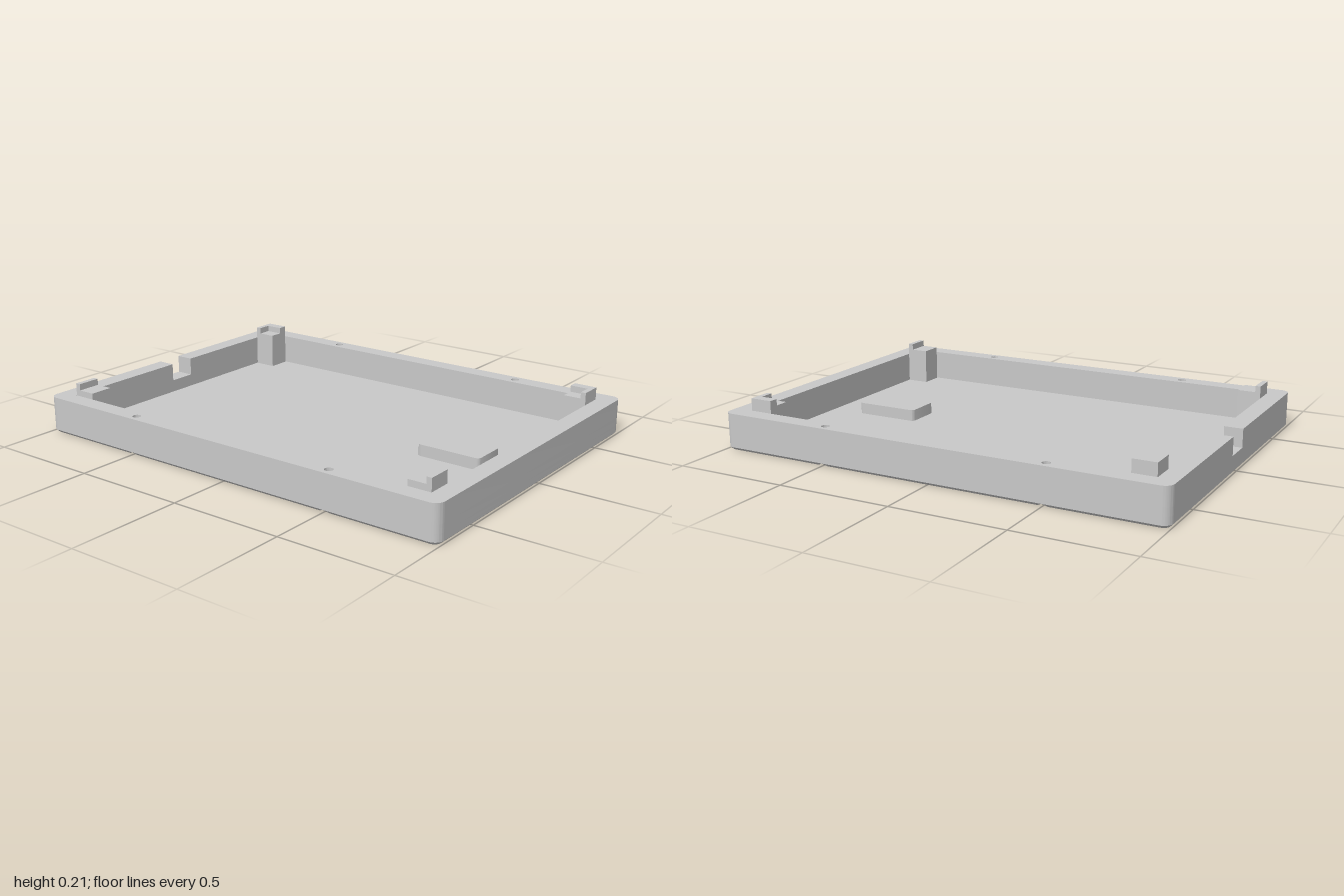
import * as THREE from 'three';
import { toCreasedNormals } from 'three/addons/utils/BufferGeometryUtils.js';

const W = 0.738, H = 1, R = 0.04;        // half width, half length, corner radius
const FLOOR = 0.025, RIM = 0.16, CHAMFER = 0.012;
const BORE = 0.034, BORE_TOP = 0.045, SCREW = 0.018;
const screws = [[0.7, 0.5], [-0.7, 0.5], [0.7, -0.5], [-0.7, -0.5]];

export function createModel() {
  const model = new THREE.Group();
  const grey = new THREE.MeshStandardMaterial({ color: 0xc8c8c8 });
  grey.name = 'light grey plastic';

  function add(name, geometry) {
    const mesh = new THREE.Mesh(toCreasedNormals(geometry, 0.5), grey);
    mesh.name = name;
    model.add(mesh);
  }

  // Flat shapes are drawn as (x, -z) and extruded upwards
  function slab(name, shape, y0, y1) {
    const g = new THREE.ExtrudeGeometry(shape, { depth: y1 - y0, bevelEnabled: false, curveSegments: 10 });
    g.rotateX(-Math.PI / 2);
    g.translate(0, y0, 0);
    add(name, g);
  }

  function box(name, x0, x1, y0, y1, z0, z1) {
    const g = new THREE.BoxGeometry(Math.abs(x1 - x0), y1 - y0, Math.abs(z1 - z0));
    g.translate((x0 + x1) / 2, (y0 + y1) / 2, (z0 + z1) / 2);
    add(name, g);
  }

  // Wall between two loops with equal point counts
  function loft(name, low, high, y0, y1) {
    const pos = [];
    const n = low.length;
    for (let i = 0; i < n; i++) {
      const j = (i + 1) % n;
      const a = [low[i].x, y0, -low[i].y], b = [low[j].x, y0, -low[j].y];
      const c = [high[i].x, y1, -high[i].y], d = [high[j].x, y1, -high[j].y];
      pos.push(...a, ...b, ...c, ...b, ...d, ...c);
    }
    const g = new THREE.BufferGeometry();
    g.setAttribute('position', new THREE.Float32BufferAttribute(pos, 3));
    g.computeVertexNormals();
    add(name, g);
  }

  function roundRect(w, h, r, cy = 0) {
    const s = new THREE.Shape();
    s.absarc(w - r, cy - h + r, r, -Math.PI / 2, 0);
    s.absarc(w - r, cy + h - r, r, 0, Math.PI / 2);
    s.absarc(-w + r, cy + h - r, r, Math.PI / 2, Math.PI);
    s.absarc(-w + r, cy - h + r, r, Math.PI, Math.PI * 1.5);
    s.closePath();
    return s;
  }

  const screwHoles = radius => screws.map(([x, y]) => new THREE.Path().absarc(x, y, radius, 0, Math.PI * 2, true));

  // Closed wall frame around the cavity
  function frame(holeRadius) {
    const s = roundRect(W, H, R);
    const inner = [[-0.66, -0.92], [-0.66, 0.92], [0.66, 0.92], [0.66, -0.92]];
    s.holes.push(new THREE.Path(inner.map(p => new THREE.Vector2(...p))), ...screwHoles(holeRadius));
    return s;
  }

  // Outline of the underside, where the screw bores cut into the chamfer
  function bittenOutline(inset) {
    const w = W - inset, h = H - inset, r = R - inset;
    const half = [];
    const arc = (cx, cy, rad, a0, a1, n) => {
      for (let i = 0; i <= n; i++) {
        const a = a0 + (a1 - a0) * i / n;
        half.push(new THREE.Vector2(cx + rad * Math.cos(a), cy + rad * Math.sin(a)));
      }
    };
    const a = Math.acos(Math.min(1, (w - 0.7) / BORE));
    arc(w - r, -h + r, r, -Math.PI / 2, 0, 10);
    for (const cy of [-0.5, 0.5]) {
      half.push(new THREE.Vector2(w, cy - BORE * Math.sin(a)));
      arc(0.7, cy, BORE, -a, a - Math.PI * 2, 24);
      half.push(new THREE.Vector2(w, cy + BORE * Math.sin(a)));
    }
    arc(w - r, h - r, r, 0, Math.PI / 2, 10);
    return half.concat(half.map(p => new THREE.Vector2(-p.x, -p.y)));
  }

  // Hanging keyhole: round entry with a narrow slot towards the front
  const entryY = -0.55, slotY = -0.7, entryR = 0.042, slotR = 0.021;
  const lip = Math.asin(slotR / entryR);
  const keyhole = new THREE.Path();
  keyhole.absarc(0, entryY, entryR, -Math.PI / 2 + lip, Math.PI * 1.5 - lip);
  keyhole.absarc(0, slotY, slotR, Math.PI, Math.PI * 2);
  keyhole.closePath();

  // Chamfered underside
  const bottomLoop = bittenOutline(CHAMFER);
  loft('bottomChamfer', bottomLoop, bittenOutline(0), 0, CHAMFER);
  const bottom = new THREE.Shape(bottomLoop);
  bottom.holes.push(keyhole);
  const bottomGeo = new THREE.ShapeGeometry(bottom, 10);
  bottomGeo.rotateX(-Math.PI / 2);
  bottomGeo.index.array.reverse();
  bottomGeo.computeVertexNormals();
  add('underside', bottomGeo);
  const keyLoop = keyhole.getPoints(10).slice(0, -1).reverse();
  loft('keyholeEdge', keyLoop, keyLoop, 0, CHAMFER);

  // Floor plate with screw bores
  const floor = roundRect(W, H, R);
  floor.holes.push(keyhole, ...screwHoles(BORE));
  slab('floor', floor, CHAMFER, FLOOR);

  // Lower wall: wide bores first, then narrow screw holes
  const notchY = 0.08;
  slab('boreWall', frame(BORE), FLOOR, BORE_TOP);
  slab('lowerWall', frame(SCREW), BORE_TOP, notchY);

  // Upper wall, open at the cable notch in the back
  const upper = new THREE.Shape();
  upper.moveTo(-0.062, 0.92);
  upper.lineTo(-0.062, H);
  upper.absarc(-W + R, H - R, R, Math.PI / 2, Math.PI);
  upper.absarc(-W + R, -H + R, R, Math.PI, Math.PI * 1.5);
  upper.absarc(W - R, -H + R, R, -Math.PI / 2, 0);
  upper.absarc(W - R, H - R, R, 0, Math.PI / 2);
  [[0.06, H], [0.06, 0.92], [0.66, 0.92], [0.66, -0.92], [-0.66, -0.92], [-0.66, 0.92]]
    .forEach(p => upper.lineTo(...p));
  upper.closePath();
  upper.holes.push(...screwHoles(SCREW));
  slab('upperWall', upper, notchY, RIM);

  // Hollow block over the keyhole
  const blockY = -0.629, blockLid = 0.062, blockTop = 0.075;
  const blockRing = roundRect(0.082, 0.146, 0.018, blockY);
  blockRing.holes.push(roundRect(0.06, 0.12, 0.015, blockY));
  slab('keyholeBlock', blockRing, FLOOR, blockLid);
  slab('keyholeBlockTop', roundRect(0.082, 0.146, 0.018, blockY), blockLid, blockTop);

  // Corner posts with raised locating lips
  const POST = 0.185, LIP = 0.213;
  for (const sz of [-1, 1]) {
    for (const sx of [-1, 1]) {
      box('cornerPost', sx * 0.553, sx * 0.656, FLOOR, POST, sz * 0.817, sz * 0.918);
      box('postEndLip', sx * 0.553, sx * 0.656, POST, LIP, sz * 0.895, sz * 0.918);
    }
    box('postSideLip', 0.615, 0.656, POST, LIP, sz * 0.817, sz * 0.895);
  }
  return model;
}
